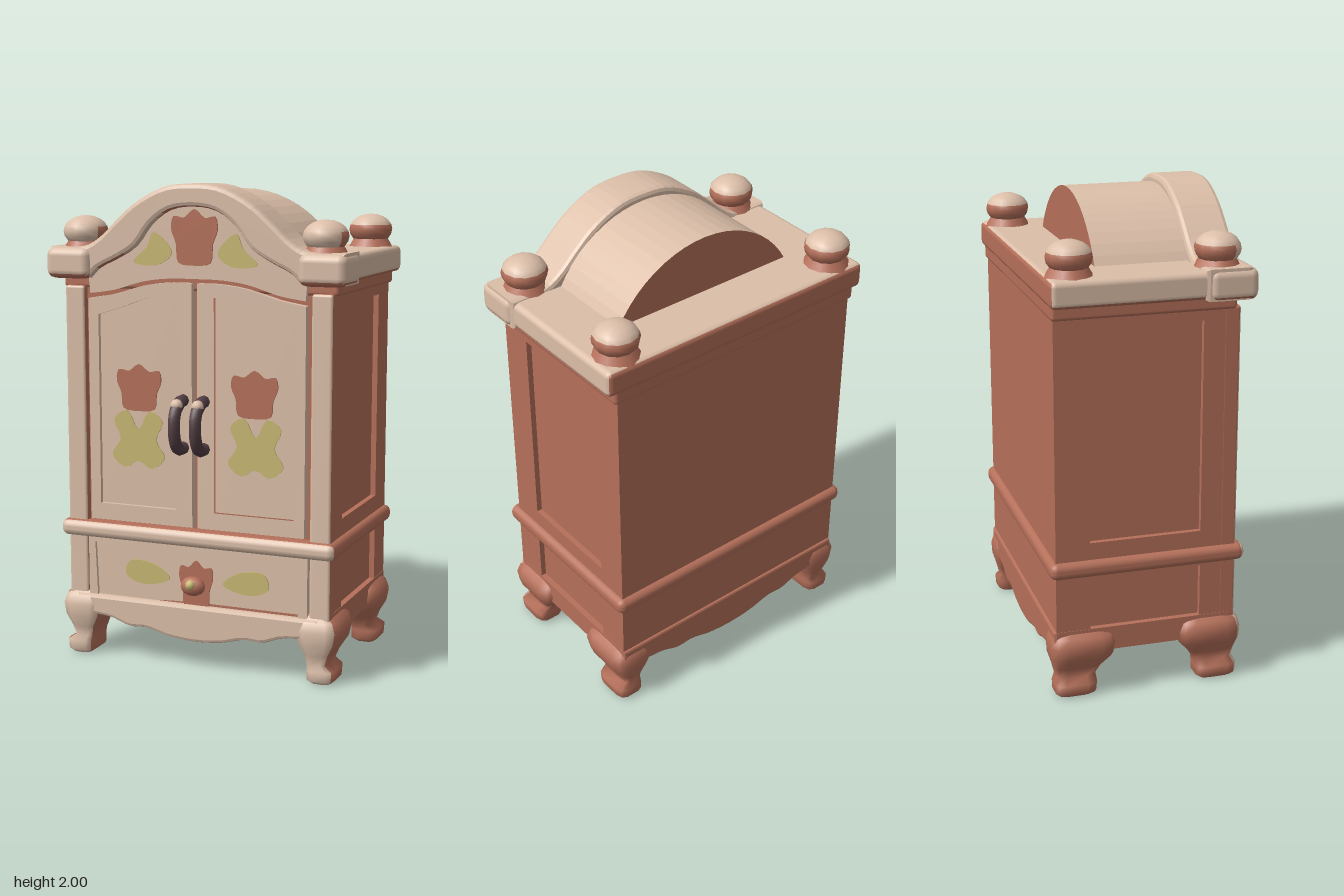
import * as THREE from 'three';
import { RoundedBoxGeometry } from 'three/addons/geometries/RoundedBoxGeometry.js';

const material = (name, color) => {
  const m = new THREE.MeshStandardMaterial({ color });
  m.name = name;
  return m;
};

export function createModel() {
  const model = new THREE.Group();
  model.name = 'wardrobe';
  const cream = material('cream paint', 0xdcbfa9);
  const clay = material('terracotta wood', 0xb5705a);
  const leaf = material('yellow leaf', 0xc9b873);
  const iron = material('dark iron', 0x533f44);

  const add = (name, geo, mat, x = 0, y = 0, z = 0) => {
    const mesh = new THREE.Mesh(geo, mat);
    mesh.name = name;
    mesh.position.set(x, y, z);
    model.add(mesh);
    return mesh;
  };

  // Splits faces into cream (rule is true) and terracotta by their normal
  const paint = (geo, rule) => {
    const g = geo.index ? geo.toNonIndexed() : geo;
    const p = g.attributes.position;
    const tri = new THREE.Triangle(), n = new THREE.Vector3(), sets = [[], []];
    for (let i = 0; i < p.count; i += 3) {
      tri.setFromAttributeAndIndices(p, i, i + 1, i + 2);
      tri.getNormal(n);
      sets[rule(n) ? 0 : 1].push(i, i + 1, i + 2);
    }
    g.clearGroups();
    g.setIndex([...sets[0], ...sets[1]]);
    g.addGroup(0, sets[0].length, 0);
    g.addGroup(sets[0].length, sets[1].length, 1);
    return g;
  };
  const two = [cream, clay];
  const frontOnly = n => n.z > 0.35;
  const notBack = n => n.z > -0.7 && n.y > -0.5;

  // Rounded box given by its limits
  const block = (name, x0, x1, y0, y1, z0, z1, r, rule) => add(name,
    paint(new RoundedBoxGeometry(x1 - x0, y1 - y0, z1 - z0, 2, r), rule), two,
    (x0 + x1) / 2, (y0 + y1) / 2, (z0 + z1) / 2);

  const poly = pts => new THREE.Shape(pts.map(([x, y]) => new THREE.Vector2(x, y)));
  const rect = (x0, x1, y0, y1) => poly([[x0, y0], [x1, y0], [x1, y1], [x0, y1]]);
  const smooth = (pts, n = 28, closed = false) =>
    new THREE.CatmullRomCurve3(pts.map(([x, y]) => new THREE.Vector3(x, y, 0)), closed)
      .getPoints(n).map(v => [v.x, v.y]);
  // Mirrors a half profile that starts on the centre line
  const both = half => [...half.slice(1).reverse().map(([x, y]) => [-x, y]), ...half];
  // Extrusion from z0 to z1, bevel kept inside those limits
  const slab = (shape, z0, z1, b = 0) => {
    const g = new THREE.ExtrudeGeometry(shape, {
      depth: z1 - z0 - 2 * b, bevelEnabled: b > 0, bevelSize: b, bevelThickness: b,
      bevelOffset: -b, bevelSegments: 2, curveSegments: 10 });
    return g.translate(0, 0, z0 + b);
  };

  // Carcass and side frames with sunken panels
  add('carcass', new THREE.BoxGeometry(1.12, 1.4, 0.72), clay, 0, 0.93, -0.06);
  for (const x of [0.558, -0.583]) {
    const frame = rect(-0.31, 0.42, 0.25, 1.63);
    frame.holes.push(rect(-0.18, 0.28, 0.66, 1.53), rect(-0.18, 0.28, 0.28, 0.51));
    add('sideFrame', slab(frame, 0, 0.025).rotateY(Math.PI / 2), clay, x);
  }

  // Corner posts and waist moulding
  for (const s of [-1, 1]) {
    const x = s * 0.54;
    block('frontPost', x - 0.044, x + 0.044, 0.24, 1.58, 0.26, 0.332, 0.012, frontOnly);
  }
  block('waistMoulding', -0.61, 0.61, 0.52, 0.59, -0.445, 0.365, 0.03, frontOnly);

  // Scalloped base
  const hem = smooth(both([[0, 0.115], [0.12, 0.125], [0.22, 0.15], [0.3, 0.148], [0.38, 0.175], [0.47, 0.185]]));
  add('base', slab(poly([[-0.585, 0.19], ...hem, [0.585, 0.19], [0.585, 0.29], [-0.585, 0.29]]),
    -0.43, 0.32, 0.01), clay);
  add('frontApron', slab(poly([...hem, [0.54, 0.2], [0.54, 0.27], [-0.54, 0.27], [-0.54, 0.2]]),
    0.3, 0.35, 0.014), cream);

  // Curved legs: rows of y, inner x, outer x, inner z, outer z
  const rows = [
    [0, 0.5, 0.585, 0.19, 0.33], [0.015, 0.48, 0.602, 0.172, 0.345], [0.055, 0.48, 0.605, 0.17, 0.347],
    [0.078, 0.48, 0.57, 0.17, 0.335], [0.12, 0.47, 0.585, 0.145, 0.345], [0.17, 0.44, 0.615, 0.1, 0.36],
    [0.22, 0.43, 0.625, 0.09, 0.362], [0.26, 0.44, 0.61, 0.1, 0.352], [0.285, 0.48, 0.57, 0.14, 0.32]];
  const legGeometry = (sx, sz) => {
    const N = 12, pos = [], idx = [];
    const soft = v => Math.sign(v) * Math.abs(v) ** 0.5;
    for (const [y, xi, xo, zi, zo] of rows)
      for (let i = 0; i < N; i++) {
        const a = (i + 0.5) / N * Math.PI * 2, zc = (zi + zo) / 2;
        pos.push(sx * (xi + xo) / 2 + soft(Math.cos(a)) * (xo - xi) / 2, y,
          (sz > 0 ? zc : -0.08 - zc) + soft(Math.sin(a)) * (zo - zi) / 2);
      }
    for (let r = 0; r < rows.length - 1; r++)
      for (let i = 0; i < N; i++) {
        const a = r * N + i, b = r * N + (i + 1) % N;
        idx.push(a, a + N, b, b, a + N, b + N);
      }
    for (let i = 1; i < N - 1; i++) idx.push(0, i, i + 1);
    const g = new THREE.BufferGeometry();
    g.setAttribute('position', new THREE.Float32BufferAttribute(pos, 3));
    g.setIndex(idx);
    g.computeVertexNormals();
    return g;
  };
  for (const sx of [-1, 1]) for (const sz of [-1, 1])
    add(sz > 0 ? 'frontLeg' : 'backLeg', paint(legGeometry(sx, sz), n => sz > 0 && n.z > 0.3), two);

  // Arched doors with sunken panels
  const doorTop = [[0.012, 1.605], [0.1, 1.605], [0.22, 1.59], [0.36, 1.55], [0.475, 1.53]];
  const panelTop = [[0.085, 1.55], [0.2, 1.54], [0.32, 1.5], [0.43, 1.465]];
  for (const s of [-1, 1]) {
    const flip = pts => pts.map(([x, y]) => [s * x, y]);
    const outline = [...smooth(doorTop, 12), [0.475, 0.6], [0.012, 0.6]];
    const opening = [...smooth(panelTop, 12), [0.43, 0.67], [0.085, 0.67]];
    const frame = poly(flip(outline));
    frame.holes.push(poly(flip(opening)));
    add('doorFrame', slab(frame, 0.28, 0.334), cream);
    add('doorPanel', slab(poly(flip(opening)), 0.28, 0.316), cream);
  }

  // Drawer
  const drawer = rect(-0.49, 0.49, 0.25, 0.525);
  const drawerHole = [...smooth([[-0.46, 0.5], [-0.3, 0.485], [0, 0.475], [0.3, 0.485], [0.46, 0.5]], 12),
    [0.45, 0.26], [-0.45, 0.26]];
  drawer.holes.push(poly(drawerHole));
  add('drawerFrame', slab(drawer, 0.28, 0.334), cream);
  add('drawerFront', slab(poly(drawerHole), 0.28, 0.32), cream);

  // Cornice: slab, pediment arch and its recessed field
  block('corniceSlab', -0.635, 0.635, 1.62, 1.73, -0.44, 0.3, 0.025, notBack);
  block('underCornice', -0.6, 0.6, 1.57, 1.64, -0.43, 0.31, 0.015, () => false);
  const outer = smooth(both([[0, 2], [0.12, 1.988], [0.25, 1.925], [0.34, 1.85], [0.41, 1.785], [0.48, 1.745], [0.64, 1.74]]), 40);
  const inner = smooth(both([[0, 1.91], [0.1, 1.895], [0.18, 1.84], [0.25, 1.75], [0.33, 1.7], [0.42, 1.655], [0.46, 1.615]]), 36);
  add('pedimentArch', paint(slab(poly([...outer, [0.64, 1.615], ...[...inner].reverse(), [-0.64, 1.615]]),
    0.165, 0.36, 0.018), n => n.y > -0.8), two);
  const lintel = smooth(both([[0, 1.622], [0.12, 1.62], [0.23, 1.605], [0.36, 1.567], [0.47, 1.55]]), 24);
  add('pedimentField', slab(poly([...lintel, [0.48, 1.66], [0.41, 1.77], [0.25, 1.9], [0.1, 1.96],
    [-0.1, 1.96], [-0.25, 1.9], [-0.41, 1.77], [-0.48, 1.66]]), 0.17, 0.326), cream);
  for (const s of [-1, 1])
    block('corniceCorner', s * 0.55 - 0.1, s * 0.55 + 0.1, 1.61, 1.738, 0.18, 0.383, 0.035, n => n.y > -0.5);

  // Barrel vault behind the pediment
  const arc = [];
  for (let i = 0; i <= 20; i++) {
    const a = (i / 10 - 1) * 1.073;
    arc.push([0.478 * Math.sin(a), 1.492 + 0.478 * Math.cos(a)]);
  }
  add('vault', paint(slab(poly(arc), -0.21, 0.18), n => n.z > -0.7 && n.y > 0), two);

  // Ball finials
  for (const x of [-0.525, 0.525]) for (const z of [0.25, -0.34]) {
    const ball = new THREE.SphereGeometry(0.093, 12, 10).scale(1, 0.7, 1);
    add('finialBall', paint(ball, n => n.y > 0.25 || (z > 0 && n.z > 0.3)), two, x, 1.8, z);
    add('finialNeck', new THREE.CylinderGeometry(0.07, 0.1, 0.05, 12), clay, x, 1.742, z);
  }

  // Painted flowers and leaves as thin plates
  const plate = (name, pts, mat, x, y, z, sx = 1, sy = 1) => add(name,
    slab(poly(smooth(pts.map(([a, b]) => [a * sx, b * sy]), 36, true)), 0, 0.006), mat, x, y, z);
  const flower = [[0, 0.1], [0.045, 0.07], [0.09, 0.075], [0.1, 0.03], [0.08, -0.02], [0.07, -0.085],
    [0, -0.095], [-0.07, -0.085], [-0.08, -0.02], [-0.1, 0.03], [-0.09, 0.075], [-0.045, 0.07]];
  const leaves = [[0, 0.04], [0.05, 0.12], [0.11, 0.08], [0.08, 0], [0.12, -0.07], [0.06, -0.12], [0, -0.09],
    [-0.06, -0.12], [-0.12, -0.07], [-0.08, 0], [-0.11, 0.08], [-0.05, 0.12]];
  const sprig = [[0, 0], [0.07, 0.055], [0.18, 0.06], [0.2, 0], [0.12, -0.035]];
  for (const s of [-1, 1]) {
    plate('doorLeaves', leaves, leaf, s * 0.26, 0.95, 0.315);
    plate('doorFlower', flower, clay, s * 0.255, 1.165, 0.317);
    plate('drawerLeaf', sprig, leaf, s * 0.12, 0.37, 0.319, s);
    plate('pedimentLeaf', [[0, 0], [0.08, 0.08], [0.11, 0.02], [0.17, -0.04], [0.06, -0.05]], leaf,
      s * 0.1, 1.725, 0.325, s);
  }
  plate('drawerFlower', flower, clay, 0, 0.355, 0.321, 0.75, 1.05);
  plate('pedimentFlower', flower, clay, 0, 1.785, 0.327, 1, 1.15);

  // Drawer knob with a small bud
  add('drawerKnob', new THREE.SphereGeometry(0.045, 12, 8).scale(1.2, 0.9, 0.8), clay, 0, 0.36, 0.358);
  add('knobBud', new THREE.SphereGeometry(0.022, 10, 8), leaf, 0, 0.37, 0.383);

  // Door handles
  const grip = new THREE.CatmullRomCurve3([[1.13, 0.32], [1.125, 0.37], [1.09, 0.415], [1.03, 0.428],
    [0.97, 0.415], [0.935, 0.38], [0.935, 0.32]].map(([y, z]) => new THREE.Vector3(0, y, z)));
  for (const x of [-0.05, 0.042]) {
    add('handle', new THREE.TubeGeometry(grip, 20, 0.026, 8), iron, x);
    add('handleTop', new THREE.SphereGeometry(0.026, 10, 8), cream, x, 1.118, 0.4);
  }
  return model;
}
